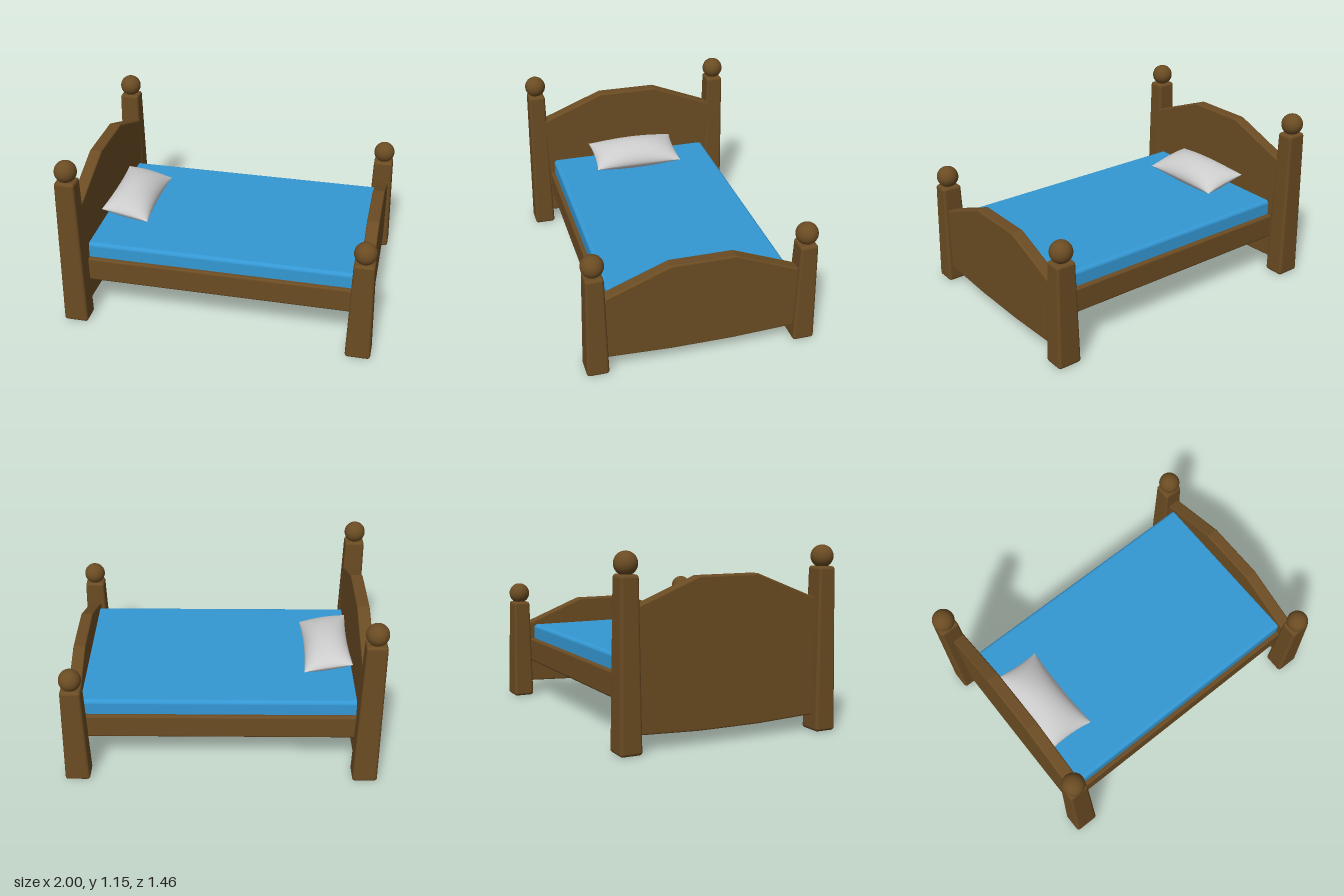
import * as THREE from 'three';
import { RoundedBoxGeometry } from 'three/addons/geometries/RoundedBoxGeometry.js';
import { mergeGeometries } from 'three/addons/utils/BufferGeometryUtils.js';

const wood = new THREE.MeshStandardMaterial({ color: 0x6b4c23 });
const blue = new THREE.MeshStandardMaterial({ color: 0x3498d4 });
const linen = new THREE.MeshStandardMaterial({ color: 0xcccccc, side: THREE.DoubleSide });

function add(parent, name, geometry, material, x = 0, y = 0, z = 0) {
  const mesh = new THREE.Mesh(geometry, material);
  mesh.name = name;
  mesh.position.set(x, y, z);
  parent.add(mesh);
  return mesh;
}

// Square post with soft edges that narrows towards the top
function postGeometry(height) {
  const g = new RoundedBoxGeometry(0.16, height, 0.14, 3, 0.02);
  g.translate(0, height / 2, 0);
  const p = g.attributes.position;
  for (let i = 0; i < p.count; i++) {
    const k = 1 - 0.2 * p.getY(i) / height;
    p.setX(i, p.getX(i) * k);
    p.setZ(i, p.getZ(i) * k);
  }
  return g;
}

// End board with a three-sided arch on top and a slight sag below
function boardGeometry(shoulder, crown) {
  const b = 0.01;
  const shape = new THREE.Shape([
    [-0.62, 0.1], [-0.2, 0.082], [0.2, 0.082], [0.62, 0.1],
    [0.62, shoulder], [0.2, crown], [-0.2, crown], [-0.62, shoulder],
  ].map(([x, y]) => new THREE.Vector2(x, y)));
  const g = new THREE.ExtrudeGeometry(shape, {
    depth: 0.08 - 2 * b, bevelThickness: b, bevelSize: b, bevelOffset: -b, bevelSegments: 3,
  });
  g.translate(0, 0, -0.04 + b);
  return g.rotateY(Math.PI / 2);
}

// Plump cushion: two bulging sheets with pulled-out corners
function pillowGeometry() {
  const sheets = [1, -1].map((side) => {
    const g = new THREE.PlaneGeometry(2, 2, 24, 32).rotateX(-Math.PI / 2);
    const p = g.attributes.position;
    for (let i = 0; i < p.count; i++) {
      // Cluster the rows near the seam, where the surface curves most
      const u = Math.sin(p.getX(i) * Math.PI / 2);
      const v = Math.sin(p.getZ(i) * Math.PI / 2);
      const bulge = Math.pow((1 - u * u) * (1 - v * v), 0.55);
      p.setXYZ(i,
        0.158 * u * (1 - 0.09 * (1 - v * v)),
        side * 0.095 * bulge,
        0.305 * v * (1 - 0.04 * (1 - u * u)));
    }
    if (side < 0) {
      const idx = g.index.array;
      for (let i = 0; i < idx.length; i += 3) [idx[i], idx[i + 1]] = [idx[i + 1], idx[i]];
    }
    g.computeVertexNormals();
    return g;
  });
  return mergeGeometries(sheets);
}

export function createModel() {
  const bed = new THREE.Group();
  bed.name = 'bed';

  const ends = [
    { name: 'head', postX: -0.92, boardX: -0.893, height: 1.02, shoulder: 0.825, crown: 0.992 },
    { name: 'foot', postX: 0.92, boardX: 0.925, height: 0.68, shoulder: 0.515, crown: 0.682 },
  ];
  for (const e of ends) {
    const end = new THREE.Group();
    end.name = e.name + 'End';
    bed.add(end);
    add(end, e.name + 'board', boardGeometry(e.shoulder, e.crown), wood, e.boardX);
    // Corner posts, each topped with a ball
    for (const [side, z] of [['Front', 0.66], ['Back', -0.66]]) {
      add(end, e.name + 'Post' + side, postGeometry(e.height), wood, e.postX, 0, z);
      add(end, e.name + 'Knob' + side, new THREE.SphereGeometry(0.07, 32, 20), wood,
        e.postX, e.height + 0.06, z);
    }
  }

  // Solid base between the boards, then bedding
  add(bed, 'bedFrame', new RoundedBoxGeometry(1.77, 0.165, 1.185, 3, 0.015), wood, 0.015, 0.3275);
  add(bed, 'mattress', new RoundedBoxGeometry(1.77, 0.16, 1.13, 4, 0.025), blue, 0.015, 0.43);
  const pillow = add(bed, 'pillow', pillowGeometry(), linen, -0.69, 0.585);
  pillow.rotation.z = -0.19;

  return bed;
}
